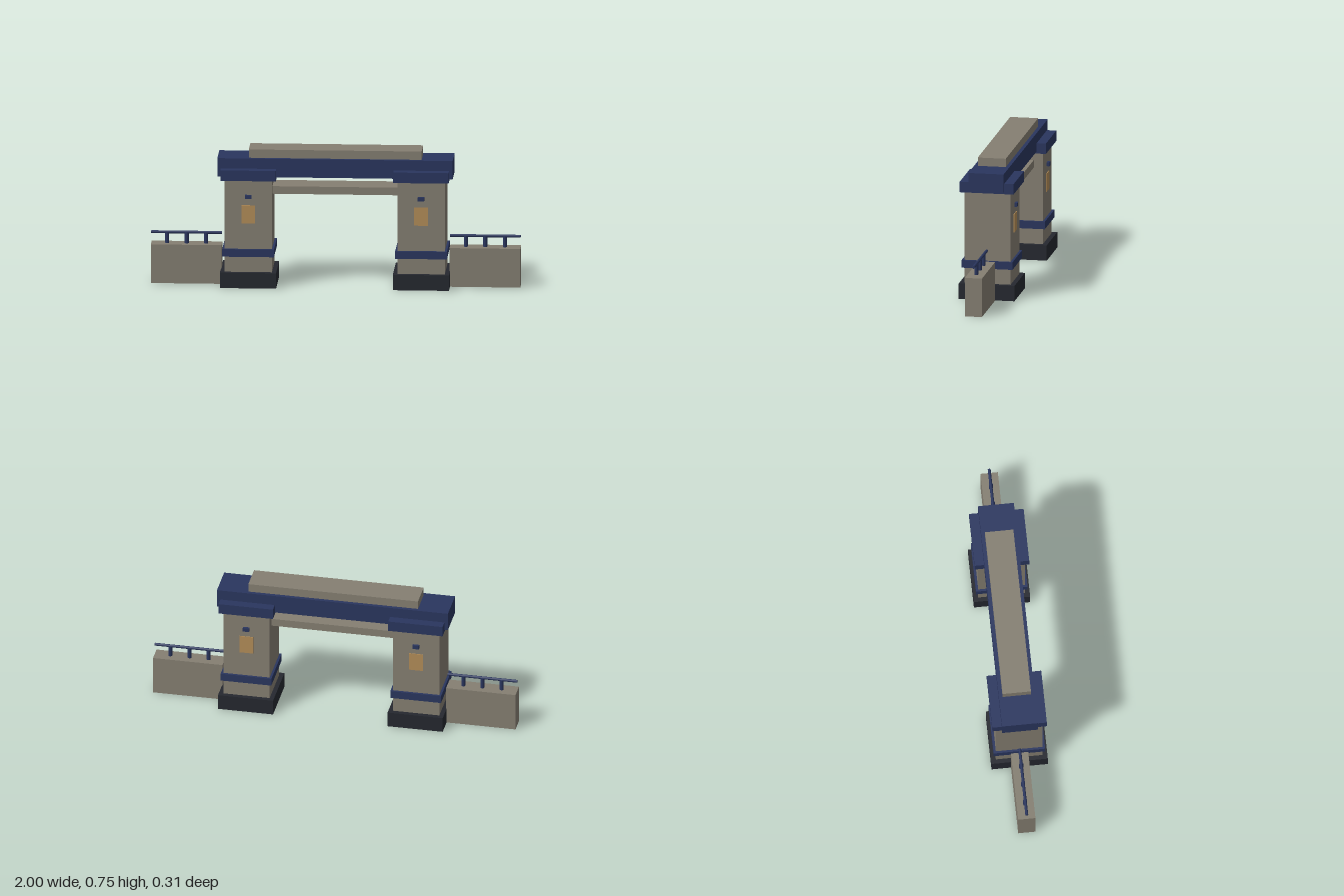
import * as THREE from 'three';

const mat = (color) => new THREE.MeshStandardMaterial({ color });

export function createModel() {
  const stone = mat(0x857f72), navy = mat(0x2a365f), dark = mat(0x25282f), amber = mat(0xb38d58);
  const model = new THREE.Group();
  model.name = 'gateway';

  // Box centred on z = 0 by default, placed by its bottom and top heights
  function box(parent, name, material, width, y0, y1, depth, x = 0, z = 0) {
    const mesh = new THREE.Mesh(new THREE.BoxGeometry(width, y1 - y0, depth), material);
    mesh.position.set(x, (y0 + y1) / 2, z);
    mesh.name = name;
    parent.add(mesh);
  }

  function rod(parent, name, radius, length, x, y, sides) {
    const mesh = new THREE.Mesh(new THREE.CylinderGeometry(radius, radius, length, sides), navy);
    mesh.position.set(x, y, 0);
    mesh.name = name;
    parent.add(mesh);
    return mesh;
  }

  for (const side of [-1, 1]) {
    // Gate pillar with plinth, band and cap
    const pillar = new THREE.Group();
    pillar.name = side > 0 ? 'leftPillar' : 'rightPillar';
    pillar.position.x = side * 0.468;
    box(pillar, 'shaft', stone, 0.256, 0, 0.6, 0.254);
    box(pillar, 'plinth', dark, 0.304, 0.001, 0.086, 0.306);
    box(pillar, 'band', navy, 0.28, 0.172, 0.214, 0.28);
    box(pillar, 'cap', navy, 0.3, 0.594, 0.652, 0.296);

    // Glowing panel and small lamp on both faces
    for (const face of [-1, 1]) {
      box(pillar, 'panel', amber, 0.075, 0.355, 0.456, 0.01, 0, face * 0.126);
      box(pillar, 'lamp', navy, 0.035, 0.493, 0.514, 0.02, 0, face * 0.132);
    }
    model.add(pillar);

    // Low side wall with handrail
    const wing = new THREE.Group();
    wing.name = side > 0 ? 'leftWall' : 'rightWall';
    box(wing, 'wall', stone, 0.383, 0, 0.214, 0.094, side * 0.8085);
    for (const x of [0.703, 0.808, 0.914]) rod(wing, 'railPost', 0.011, 0.06, side * x, 0.243, 12);
    rod(wing, 'rail', 0.008, 0.383, side * 0.8085, 0.274, 8).rotation.z = Math.PI / 2;
    model.add(wing);
  }

  // Spanning beams
  box(model, 'lintel', stone, 0.69, 0.51, 0.552, 0.154);
  box(model, 'mainBeam', navy, 1.274, 0.606, 0.708, 0.194);
  box(model, 'topSlab', stone, 0.936, 0.708, 0.754, 0.154);

  return model;
}
